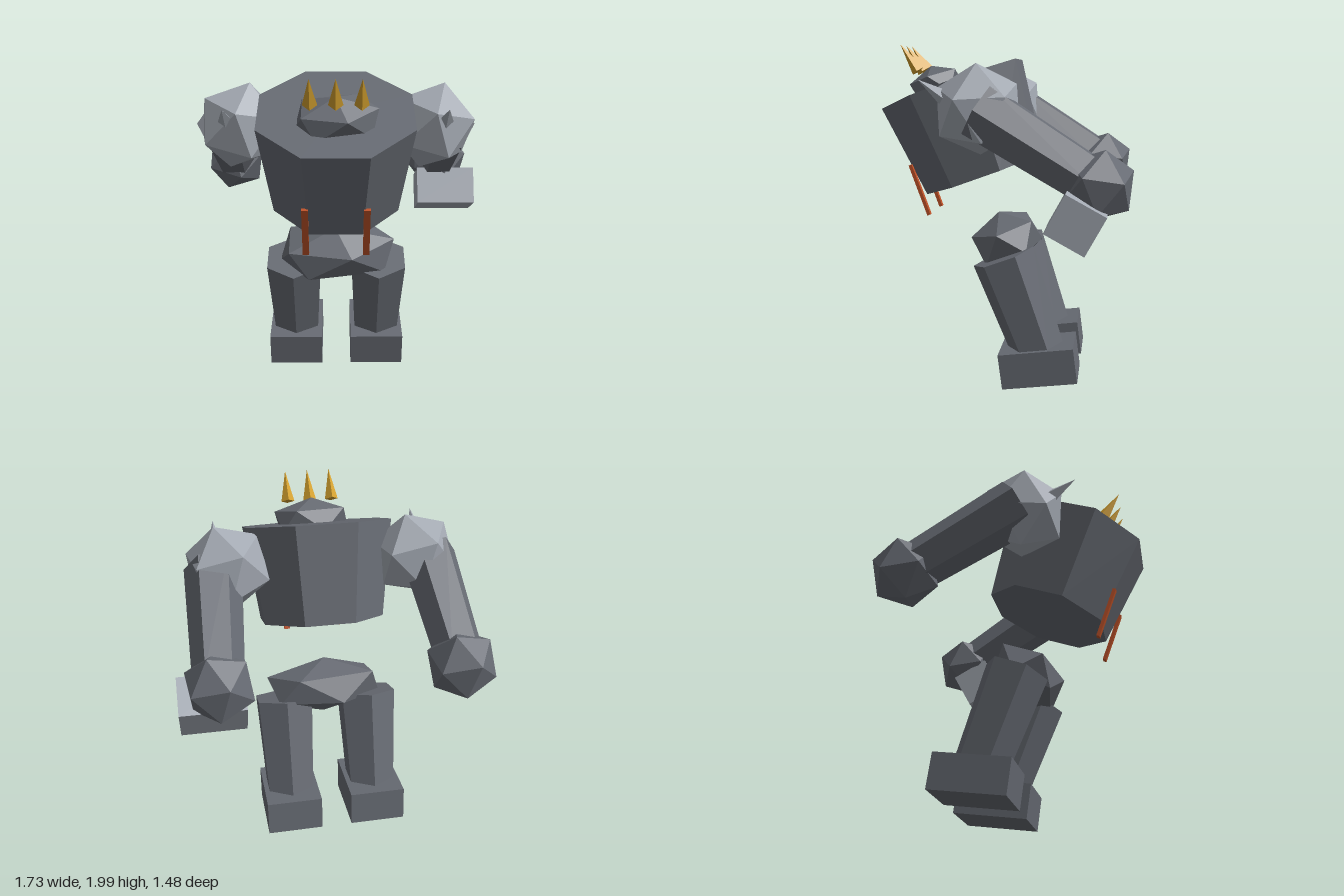
import * as THREE from 'three';
import { ConvexGeometry } from 'three/addons/geometries/ConvexGeometry.js';

const V = (x, y, z) => new THREE.Vector3(x, y, z);
const MID = -0.025; // mirror plane of the body
const TILT = 0.35; // forward lean of torso, backward lean of legs

const material = (name, color) => {
  const m = new THREE.MeshStandardMaterial({ color });
  m.name = name;
  return m;
};

export function createModel() {
  const model = new THREE.Group();
  model.name = 'stoneGolem';
  const stone = material('dark stone', 0x676b73);
  const paleStone = material('pale stone', 0xa3a9b2);
  const gold = material('gold', 0xd4a12f);
  const rust = material('rust orange', 0xbf5228);

  // Adds a mesh with hard facets
  function add(name, geometry, mat, position, rotX = 0) {
    const flat = geometry.index ? geometry.toNonIndexed() : geometry;
    flat.computeVertexNormals();
    const mesh = new THREE.Mesh(flat, mat);
    mesh.name = name;
    mesh.position.copy(position);
    mesh.rotation.x = rotX;
    model.add(mesh);
    return mesh;
  }

  // Boulder: hull of six corner vectors and their opposites
  const boulder = (corners) =>
    new ConvexGeometry(corners.flatMap((c) => [c.clone(), c.clone().negate()]));

  // Corners of a regular twenty-sided rock, from one corner and its neighbour
  function rockCorners(radius, first, neighbour) {
    const a = first.clone().normalize();
    const side = neighbour.clone().addScaledVector(a, -neighbour.dot(a)).normalize();
    const b = a.clone().multiplyScalar(1 / Math.sqrt(5)).addScaledVector(side, 2 / Math.sqrt(5));
    const corners = [a];
    for (let i = 0; i < 5; i++) corners.push(b.clone().applyAxisAngle(a, (i * Math.PI * 2) / 5));
    return corners.map((c) => c.multiplyScalar(radius));
  }

  // Tapered prism between two points, lower to upper
  function limb(name, bottom, top, rBottom, rTop, thetaStart) {
    const dir = top.clone().sub(bottom);
    const geometry = new THREE.CylinderGeometry(rTop, rBottom, dir.length(), 6, 1, false, thetaStart);
    const mesh = add(name, geometry, stone, bottom.clone().lerp(top, 0.5));
    mesh.quaternion.setFromUnitVectors(V(0, 1, 0), dir.normalize());
  }

  // Torso: tapered octagon leaning forward
  const torso = new THREE.CylinderGeometry(0.46, 0.385, 0.57, 8, 1, false, Math.PI / 8);
  add('torso', torso, stone, V(MID, 1.497, 0.233), TILT);

  // Hips and head: squashed boulders of the same cut
  const squashed = [
    V(-0.01, 0.16, 0.055), V(0.09, 0.015, 0.21), V(-0.29, 0.115, -0.086),
    V(0.35, 0.075, 0.018), V(-0.17, -0.135, 0.165), V(-0.29, 0.03, 0.146),
  ];
  add('hips', boulder(squashed), stone, V(-0.02, 0.825, 0));
  const headScale = V(0.64, 0.77, 0.77);
  add('head', boulder(squashed.map((c) => c.clone().multiply(headScale))), stone, V(-0.02, 1.75, 0.425));

  // Crown of three horns
  for (const x of [-0.135, 0, 0.135]) {
    add('horn', new THREE.ConeGeometry(0.04, 0.187, 4), gold, V(MID + x, 1.918, 0.567), 0.6);
  }

  for (const [side, s] of [['left', 1], ['right', -1]]) {
    const at = (x, y, z) => V(MID + s * x, y, z);

    // Shoulder rock with a forward spike
    const shoulder = boulder(rockCorners(0.255, V(0.255, 0.967, 0), V(0.9, 0.235, 0.37)));
    add(side + 'Shoulder', shoulder, paleStone, at(0.55, 1.63, 0.085));
    add(side + 'ShoulderSpike', new THREE.ConeGeometry(0.06, 0.235, 4), paleStone, at(0.605, 1.725, 0.305), 0.98);

    // Arm swung backward, ending in a rock fist
    limb(side + 'Arm', at(0.665, 1.265, -0.53), at(0.633, 1.63, 0.07), 0.14, 0.165, Math.PI / 2);
    const fist = boulder(rockCorners(0.203, V(0.28, 0.945, -0.17), V(0.88, 0.25, 0.4)));
    add(side + 'Fist', fist, stone, at(0.665, 1.245, -0.567));

    // Leg leaning back onto a block foot
    limb(side + 'Leg', at(0.26, 0.19, -0.22), at(0.26, 0.765, -0.01), 0.158, 0.19, 0);
    add(side + 'Foot', new THREE.BoxGeometry(0.335, 0.207, 0.44), stone, at(0.26, 0.136, -0.229), 0.13);

    // Hanging strap at the waist
    add(side + 'Strap', new THREE.BoxGeometry(0.036, 0.32, 0.02), rust, at(0.168, 1.137, 0.508), TILT);
  }

  // Block held at the left fist
  add('heldBlock', new THREE.BoxGeometry(0.365, 0.23, 0.238), paleStone, V(0.684, 1.07, -0.457), -0.5);

  return model;
}
